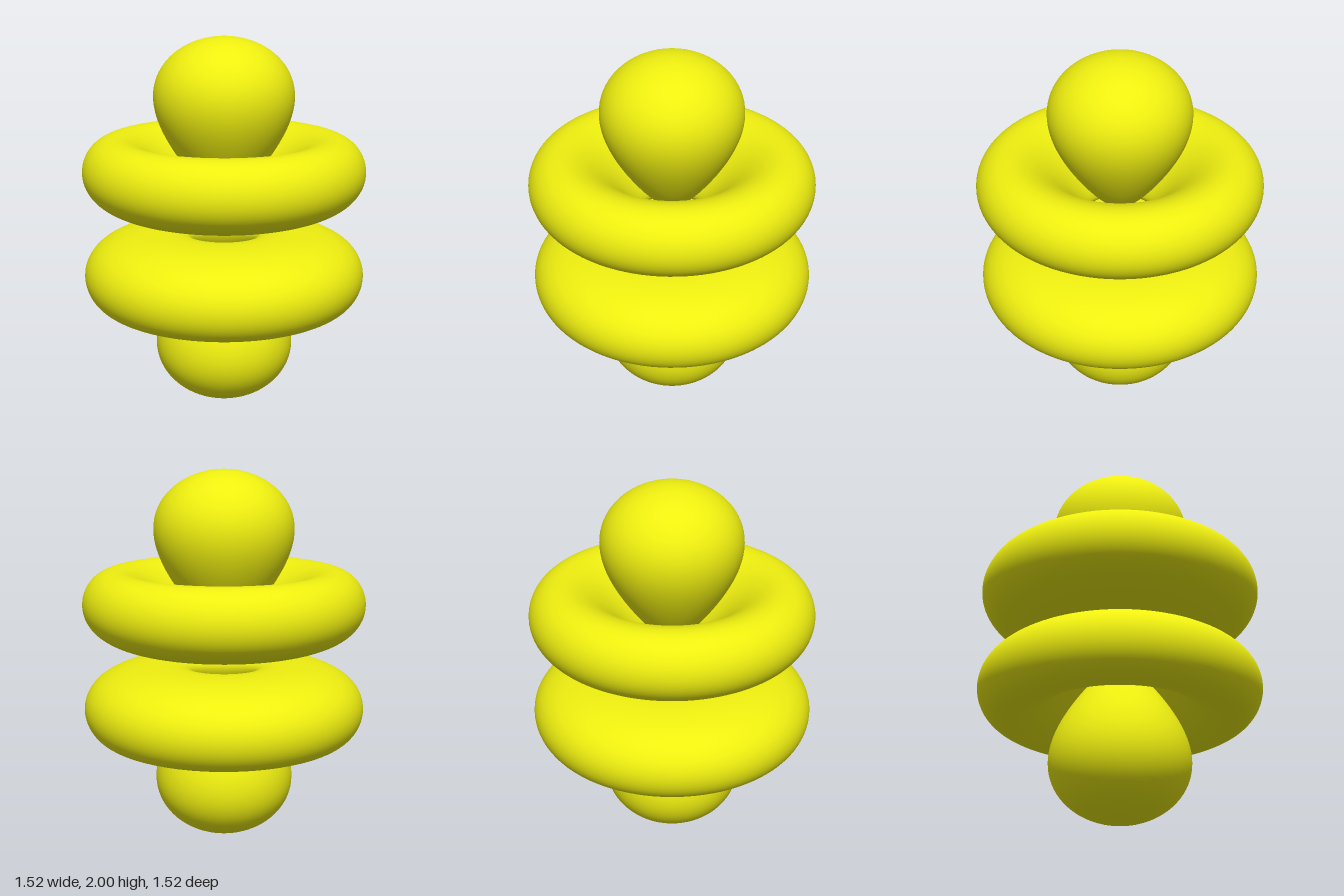
import * as THREE from 'three';
import { mergeVertices } from 'three/addons/utils/BufferGeometryUtils.js';

// Level surface of radial(r) * |angular(cos)|, revolved about the y axis
const POWER = 4, DECAY = 9.05, PEAK = POWER / DECAY;
const radial = r => r ** POWER * Math.exp(-DECAY * r);
const angular = c => 5 * c ** 3 - 3 * c;
const LEVEL = 2 * radial(1);
const CUTOFF = LEVEL / radial(PEAK);

// Root of f between a and b, where f changes sign
function solve(f, a, b) {
  const rising = f(b) > 0;
  for (let i = 0; i < 50; i++) {
    const m = (a + b) / 2;
    if ((f(m) > 0) === rising) b = m; else a = m;
  }
  return (a + b) / 2;
}

// Point of the section at an angle from the axis, on its outer or inner side
function sectionPoint(theta, outer) {
  const a = Math.abs(angular(Math.cos(theta)));
  const f = r => a * radial(r) - LEVEL;
  const r = a <= CUTOFF + 1e-9 ? PEAK : outer ? solve(f, PEAK, 1.2) : solve(f, 0.01, PEAK);
  return new THREE.Vector2(Math.max(0, r * Math.sin(theta)), r * Math.cos(theta));
}

function revolve(points) {
  const g = new THREE.LatheGeometry(points, 96);
  g.deleteAttribute('uv');
  g.deleteAttribute('normal');
  const merged = mergeVertices(g, 1e-5);
  merged.computeVertexNormals();
  return merged;
}

// Teardrop: inner tip, out to the widest angle, then up to the top
function lobeGeometry() {
  const n = 64, end = Math.acos(solve(c => angular(c) - CUTOFF, 0.775, 1));
  const points = [];
  for (let i = 0; i <= n; i++) {
    const u = Math.PI * i / n;
    const p = sectionPoint(end * Math.sin(u), i > n / 2);
    if (i === 0 || i === n) p.x = 0;
    points.push(p);
  }
  return revolve(points);
}

// Ring: closed section, up the outer side and back down the inner side
function ringGeometry() {
  const n = 96, crest = 1 / Math.sqrt(5);
  const near = Math.acos(solve(c => -angular(c) - CUTOFF, crest, 0.775));
  const far = Math.acos(solve(c => -angular(c) - CUTOFF, 0, crest));
  const points = [];
  for (let i = 0; i < n; i++) {
    const u = 2 * Math.PI * i / n;
    points.push(sectionPoint((near + far) / 2 + (far - near) / 2 * Math.cos(u), i < n / 2));
  }
  points.push(points[0].clone());
  return revolve(points);
}

export function createModel() {
  const group = new THREE.Group();
  const material = new THREE.MeshStandardMaterial({ color: 0xeeee10 });
  const parts = { Lobe: lobeGeometry(), Ring: ringGeometry() };
  // Upper half and its mirrored lower half
  for (const half of ['upper', 'lower']) {
    for (const [part, geometry] of Object.entries(parts)) {
      const mesh = new THREE.Mesh(geometry, material);
      mesh.name = half + part;
      mesh.position.y = 1;
      if (half === 'lower') mesh.rotation.x = Math.PI;
      group.add(mesh);
    }
  }
  return group;
}
